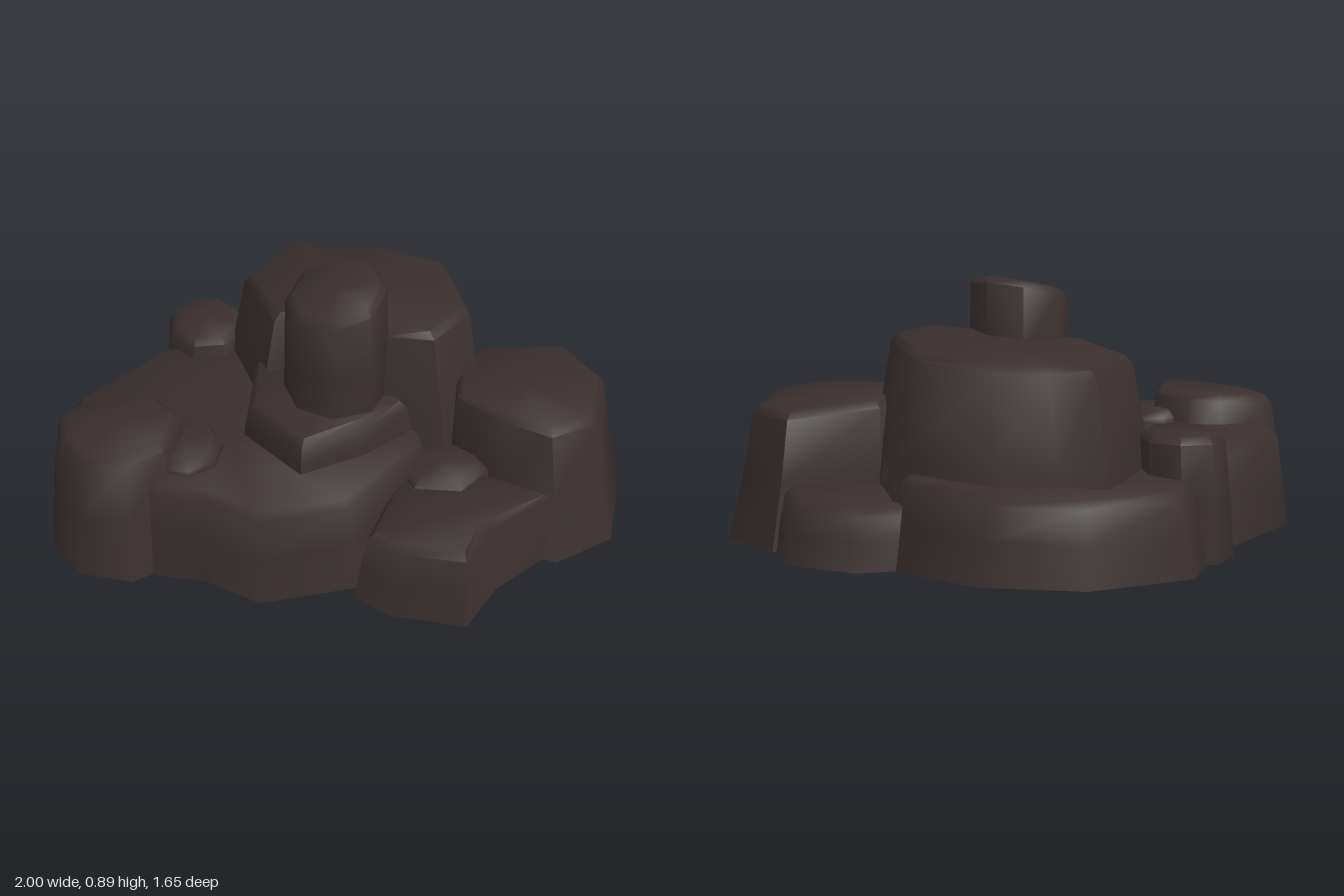
import * as THREE from 'three';
import { toCreasedNormals } from 'three/addons/utils/BufferGeometryUtils.js';

const rock = new THREE.MeshStandardMaterial({ color: 0x392f2e, side: THREE.DoubleSide });
rock.name = 'darkRock';

// Regular footprint with n corners on an ellipse; start is the first corner's angle in turns
const oval = (cx, cz, rx, rz, n, start) => Array.from({ length: n }, (_, i) => {
  const a = (i / n + start) * Math.PI * 2;
  return [cx + rx * Math.cos(a), cz + rz * Math.sin(a)];
});

// Rock from a footprint [x, z] (clockwise from above), standing on floor: walls narrow by
// inset, bending at mid height, and shift by lean; the top lies at h and slopes by sx and sz.
function makeRock(name, pts, { h, sx = 0, sz = 0, inset, bend = 0.5, floor = 0, lean = [0, 0] }) {
  const n = pts.length;
  const cx = pts.reduce((s, p) => s + p[0], 0) / n;
  const cz = pts.reduce((s, p) => s + p[1], 0) / n;
  const bevel = 0.026;
  const topAt = (x, z) => h + sx * x + sz * z;

  // Ring pulled towards the centre; share runs from floor (0) to top (1), less a drop
  const ring = (pull, share, drop) => pts.map(([x, z]) => {
    const k = 1 - pull / Math.hypot(x - cx, z - cz);
    const px = cx + (x - cx) * k + lean[0] * share;
    const pz = cz + (z - cz) * k + lean[1] * share;
    return [px, floor + (topAt(px, pz) - floor) * share - drop, pz];
  });
  const rings = [
    ring(0, 0, 0),
    ring(inset * bend, 0.5, 0),
    ring(inset, 1, bevel),
    ring(inset + bevel, 1, 0),
  ];

  const pos = [];
  const tri = (a, b, c) => pos.push(...a, ...b, ...c);
  const tx = cx + lean[0], tz = cz + lean[1];
  const centre = [tx, topAt(tx, tz), tz];
  for (let i = 0; i < n; i++) {
    const j = (i + 1) % n;
    // Walls and bevel
    for (let r = 0; r < rings.length - 1; r++) {
      const lo = rings[r], up = rings[r + 1];
      tri(lo[j], lo[i], up[i]);
      tri(lo[j], up[i], up[j]);
    }
    // Sloping top
    tri(centre, rings[3][j], rings[3][i]);
  }
  const geo = new THREE.BufferGeometry();
  geo.setAttribute('position', new THREE.Float32BufferAttribute(pos, 3));
  const mesh = new THREE.Mesh(toCreasedNormals(geo, 0.95), rock);
  mesh.name = name;
  return mesh;
}

export function createModel() {
  const group = new THREE.Group();
  group.name = 'rockFormation';
  const add = (name, pts, shape) => group.add(makeRock(name, pts, shape));

  // Broad terraces
  add('mainSlab', [
    [-0.58, -0.44], [0.3, -0.3], [0.3, 0.3], [0, 0.595], [-0.33, 0.63],
    [-0.5, 0.5], [-0.66, 0.45], [-0.95, 0.15], [-0.92, -0.15],
  ], { h: 0.34, inset: 0.04 });
  add('backLedge', [
    [-0.35, -0.77], [0.01, -0.83], [0.32, -0.7], [0.53, -0.45], [0.55, -0.1],
    [-0.2, -0.1], [-0.42, -0.4], [-0.44, -0.64],
  ], { h: 0.32, sz: 0.07, inset: 0.05 });
  add('middleStep', [
    [-0.28, -0.13], [0.15, -0.1], [0.24, 0.21], [0.06, 0.33], [-0.17, 0.41], [-0.34, 0.16],
  ], { h: 0.46, inset: 0.025, floor: 0.28 });
  add('frontRock', [
    [0.14, 0.31], [0.5, 0.32], [0.7, 0.49], [0.45, 0.66], [0.32, 0.825],
    [0.08, 0.74], [-0.02, 0.64],
  ], { h: 0.25, sz: 0.015, inset: 0.045 });

  // High peak and the pillar in front of it
  add('peak', [
    [-0.13, -0.71], [0.04, -0.65], [0.27, -0.61], [0.55, -0.35], [0.55, 0.1],
    [0.36, 0.29], [0.15, 0.24], [-0.05, 0.09], [-0.31, 0], [-0.39, -0.4],
  ], { h: 0.685, sx: 0.035, sz: 0.075, inset: 0.12, bend: 0.5 });
  add('pillar', oval(-0.01, 0.09, 0.178, 0.19, 8, 0.03),
    { h: 0.865, sx: 0.2, sz: -0.12, inset: 0.01, floor: 0.4 });

  // Rocks on the sides and back
  add('rightRock', [
    [0.5, -0.1], [0.88, -0.1], [1, 0.14], [0.89, 0.46], [0.68, 0.555], [0.5, 0.46],
    [0.33, 0.26], [0.37, 0.05],
  ], { h: 0.53, sx: -0.085, sz: 0.02, inset: 0.07, bend: 0.65, lean: [-0.02, -0.025] });
  add('rightBackBlock', [
    [0.45, -0.45], [0.66, -0.44], [0.86, -0.28], [0.87, -0.05], [0.7, 0.05], [0.45, 0],
  ], { h: 0.22, sz: 0.06, inset: 0.045 });
  add('leftRock', [
    [-0.92, 0.01], [-0.72, -0.02], [-0.59, 0.04], [-0.5, 0.2], [-0.58, 0.4],
    [-0.74, 0.475], [-0.91, 0.41], [-1, 0.26], [-1, 0.08],
  ], { h: 0.51, sx: 0.09, inset: 0.05, bend: 0.4, lean: [0.01, -0.025] });
  add('smallBackRock', oval(-0.43, -0.455, 0.16, 0.178, 8, 1 / 16),
    { h: 0.415, inset: 0.02, lean: [0.015, 0] });

  // Small steps
  add('leftStep', oval(-0.53, 0.22, 0.13, 0.155, 8, 0),
    { h: 0.385, inset: 0.01, floor: 0.3 });
  add('frontStep', oval(0.32, 0.32, 0.17, 0.15, 6, 0.04),
    { h: 0.29, inset: 0.015, floor: 0.2 });
  return group;
}
